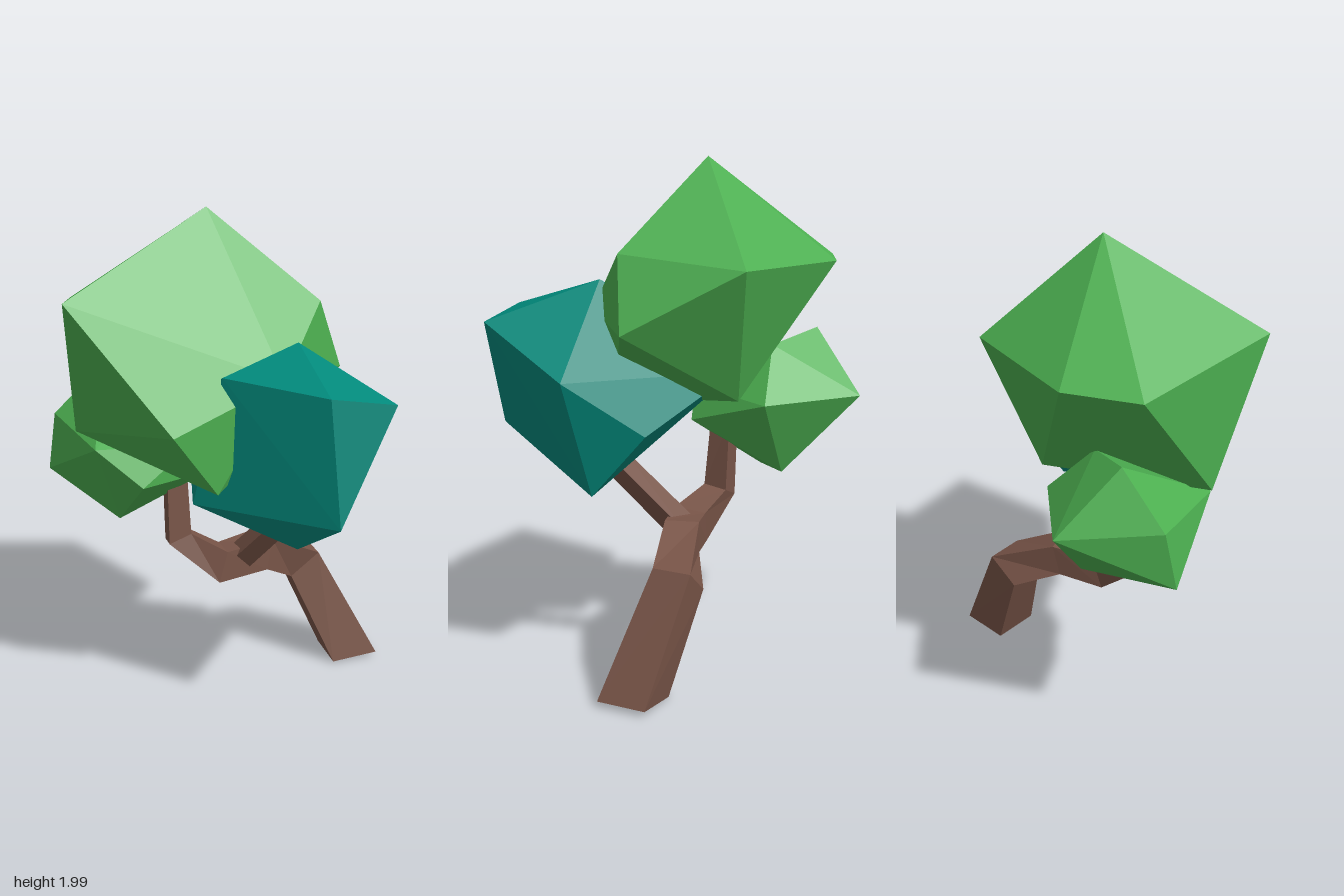
import * as THREE from 'three';
import { ConvexGeometry } from 'three/addons/geometries/ConvexGeometry.js';

const mat = (color) => new THREE.MeshStandardMaterial({ color, flatShading: true });
const vec = (p) => new THREE.Vector3(p[0], p[1], p[2]);

// Faceted clump of leaves: the hull of a few corner points.
function clump(name, points, material) {
  const mesh = new THREE.Mesh(new ConvexGeometry(points.map(vec)), material);
  mesh.name = name;
  return mesh;
}

// Angular limb: a square ring at each [x, y, z, radius], skinned and capped.
function limb(name, path, material, startDir) {
  const sides = 4, pos = [], index = [];
  const pts = path.map(vec);
  path.forEach((p, i) => {
    const t = pts[Math.min(i + 1, pts.length - 1)].clone().sub(pts[Math.max(i - 1, 0)]).normalize();
    if (i === 0 && startDir) t.copy(startDir).normalize();
    const u = new THREE.Vector3().crossVectors(t, new THREE.Vector3(0, 0, 1)).normalize();
    const v = new THREE.Vector3().crossVectors(t, u);
    for (let k = 0; k < sides; k++) {
      const a = ((k + 0.5) / sides) * Math.PI * 2 + 0.12;
      const q = pts[i].clone().addScaledVector(u, p[3] * Math.cos(a)).addScaledVector(v, p[3] * Math.sin(a));
      pos.push(q.x, q.y, q.z);
    }
  });
  for (let i = 0; i < path.length - 1; i++) {
    for (let k = 0; k < sides; k++) {
      const a = i * sides + k, b = i * sides + (k + 1) % sides;
      index.push(a, b, b + sides, a, b + sides, a + sides);
    }
  }
  const last = (path.length - 1) * sides;
  for (let k = 1; k < sides - 1; k++) {
    index.push(0, k + 1, k, last, last + k, last + k + 1);
  }
  const geo = new THREE.BufferGeometry();
  geo.setAttribute('position', new THREE.Float32BufferAttribute(pos, 3));
  geo.setIndex(index);
  geo.computeVertexNormals();
  const mesh = new THREE.Mesh(geo, material);
  mesh.name = name;
  return mesh;
}

export function createModel() {
  const group = new THREE.Group();
  group.name = 'bentTree';
  const bark = mat(0x795548), green = mat(0x4caf50), teal = mat(0x00897b);

  // Bent trunk, leaning over and rising again into the leaves
  group.add(limb('trunk', [
    [0.582, 0.018, -0.172, 0.14],
    [0.37, 0.44, -0.235, 0.11],
    [0.18, 0.54, -0.13, 0.095],
    [-0.01, 0.53, -0.05, 0.095],
    [-0.175, 0.645, -0.085, 0.07],
    [-0.185, 0.95, -0.1, 0.058],
  ], bark, new THREE.Vector3(-0.1, 1, 0)));

  // Side branch reaching into the teal clump
  group.add(limb('sideBranch', [
    [0.08, 0.54, -0.07, 0.06],
    [0.29, 0.86, 0.14, 0.055],
  ], bark));

  // Large crown at the top
  group.add(clump('largeCrown', [
    [-0.05, 2, -0.1], [-0.62, 1.71, 0.175], [0.375, 1.65, 0.03], [0.48, 1.36, -0.05],
    [0.25, 1.6, -0.45], [-0.3, 1.6, -0.535], [-0.565, 1.6, -0.385], [-0.58, 1.14, -0.05],
    [-0.245, 1.25, 0.41], [-0.075, 1, 0.36], [0.07, 1.08, -0.315], [0.19, 1.41, 0.28],
  ], green));

  // Small clump at the back
  group.add(clump('smallClump', [
    [-0.355, 1.065, -0.625], [-0.685, 0.885, -0.33], [-0.653, 1.115, -0.36], [-0.51, 1.08, 0.02],
    [-0.41, 0.715, -0.145], [-0.2, 0.75, -0.36], [-0.03, 1.05, -0.375], [-0.33, 0.93, 0.08],
    [-0.06, 0.95, -0.02], [-0.12, 1.08, 0], [-0.45, 1.31, -0.38], [-0.22, 1.26, -0.3],
  ], green));

  // Teal clump at the front
  group.add(clump('tealClump', [
    [0.255, 1.535, 0.2], [0.3, 1.425, 0.565], [0.555, 1.38, 0.53], [0.335, 0.94, 0.625],
    [0.22, 0.785, 0.42], [0.445, 0.725, 0.11], [0.615, 1.19, 0.12], [-0.12, 1.155, -0.19],
    [0.36, 0.965, -0.08], [-0.05, 1.44, 0.3], [-0.155, 0.92, 0.24],
  ], teal));

  return group;
}
